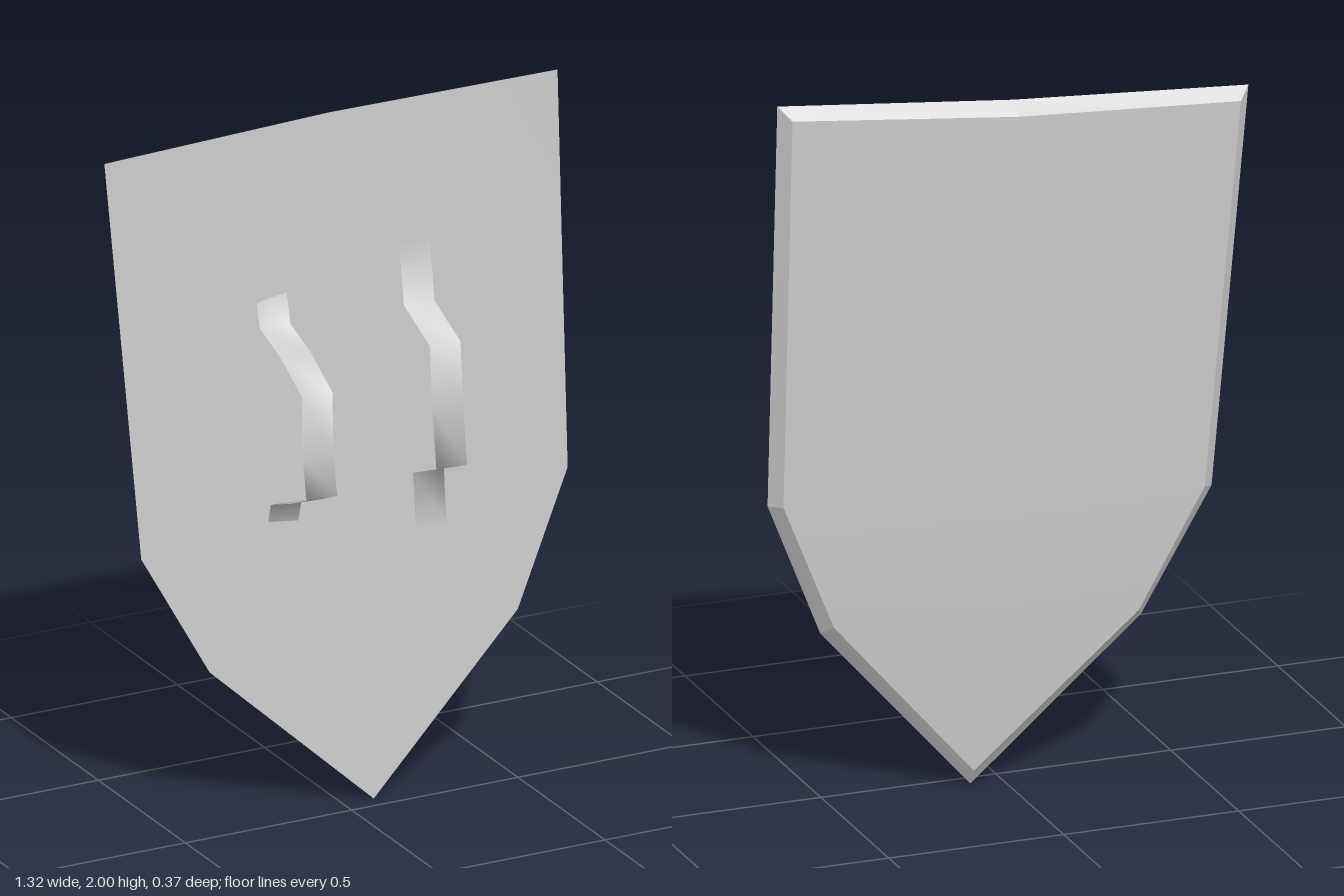
import * as THREE from 'three';

const material = new THREE.MeshStandardMaterial({ color: 0xcccccc, side: THREE.DoubleSide });

function surface(name, points, index) {
  const g = new THREE.BufferGeometry();
  g.setAttribute('position', new THREE.Float32BufferAttribute(points.flat(), 3));
  g.setIndex(index);
  g.computeVertexNormals();
  const mesh = new THREE.Mesh(g, material);
  mesh.name = name;
  return mesh;
}

// Rows from top to bottom, each left edge, middle, right edge; the last row is the tip
const FRONT = [
  [[-0.66, 1.93, -0.16], [0, 1.965, -0.13], [0.64, 2, -0.04]],
  [[-0.57, 0.79, -0.12], [0.04, 0.83, -0.085], [0.66, 0.86, -0.02]],
  [[-0.38, 0.44, -0.09], [0.06, 0.46, -0.065], [0.51, 0.48, -0.02]],
  [[0.09, 0.005, -0.045]],
];
const BACK = [
  [[-0.63, 1.895, -0.183], [0, 1.93, -0.17], [0.61, 1.965, -0.075]],
  [[-0.54, 0.8, -0.147], [0.04, 0.83, -0.138], [0.63, 0.865, -0.06]],
  [[-0.36, 0.465, -0.125], [0.06, 0.48, -0.115], [0.485, 0.505, -0.057]],
  [[0.09, 0.05, -0.07]],
];

// Bent panel across the rows, closing to a fan at the tip
function panel(name, rows, flip) {
  const index = [];
  const tri = (a, b, c) => index.push(...(flip ? [a, c, b] : [a, b, c]));
  for (let r = 0; r < 3; r++) {
    for (let c = 0; c < 2; c++) {
      const a = r * 3 + c;
      if (r === 2) {
        tri(a, 9, a + 1);
      } else {
        tri(a, a + 3, a + 4);
        tri(a, a + 4, a + 1);
      }
    }
  }
  return surface(name, rows.flat(), index);
}

// Outline of a panel: down one side, round the tip, up the other, back along the top
const outline = ([a, b, c, d]) => [a[0], b[0], c[0], d[0], c[2], b[2], a[2], a[1]];

// Bevelled rim joining the two outlines, with crisp corners
function rim() {
  const f = outline(FRONT), b = outline(BACK);
  const points = [], index = [];
  f.forEach((p, i) => {
    const j = (i + 1) % f.length, k = points.length;
    points.push(p, b[i], b[j], f[j]);
    index.push(k, k + 1, k + 2, k, k + 2, k + 3);
  });
  return surface('rim', points, index);
}

// Thin strap swept along a centre line, turned to lie parallel to the shield
function strap(name, path) {
  const points = [], index = [];
  path.forEach(([x, y, z], i) => {
    points.push([x - 0.044, y, z - 0.004], [x + 0.044, y, z + 0.004]);
    if (i) {
      const k = 2 * i - 2;
      index.push(k, k + 2, k + 3, k, k + 3, k + 1);
    }
  });
  return surface(name, points, index);
}

export function createModel() {
  const model = new THREE.Group();
  model.name = 'shield';
  model.add(panel('innerFace', FRONT, false), panel('outerFace', BACK, true), rim());

  // Arm loop with its ends sunk into the face
  model.add(strap('armStrap', [
    [-0.178, 1.49, -0.125], [-0.178, 1.395, -0.1], [-0.185, 1.36, 0.03],
    [-0.195, 1.3, 0.173], [-0.193, 1.12, 0.177], [-0.183, 1.0, 0.178],
    [-0.168, 0.95, 0.07], [-0.155, 0.89, -0.08], [-0.155, 0.8, -0.105],
  ]));

  // Hand loop with flat end tabs
  model.add(strap('handStrap', [
    [0.223, 1.57, -0.065], [0.232, 1.4, -0.055], [0.222, 1.345, 0.113],
    [0.227, 1.17, 0.118], [0.237, 0.99, 0.122], [0.252, 0.92, -0.04], [0.26, 0.76, -0.04],
  ]));
  return model;
}
